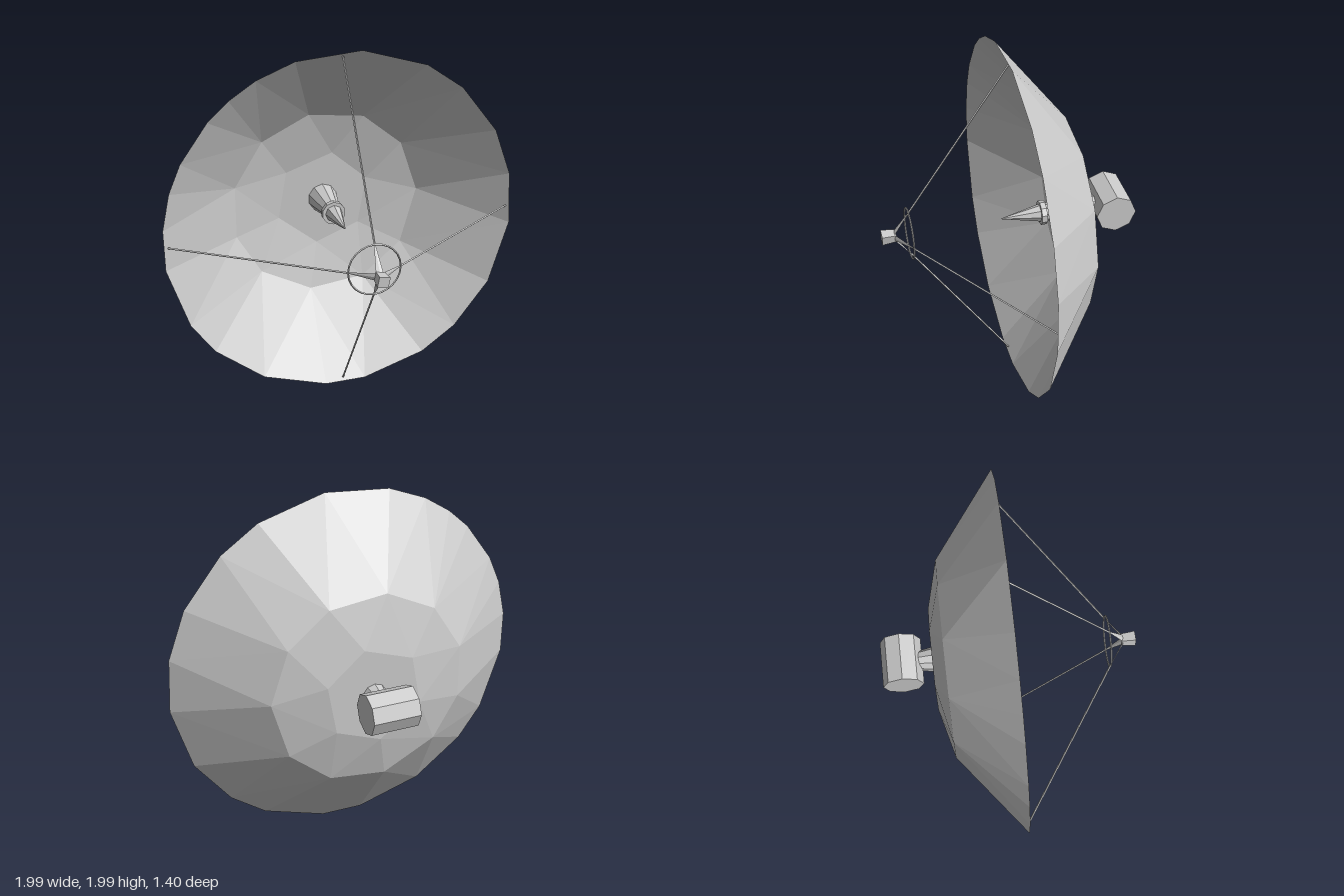
import * as THREE from 'three';

const grey = new THREE.MeshStandardMaterial({ color: 0xcccccc, flatShading: true, side: THREE.DoubleSide });

// Faceted reflector rings, outermost first: radius, depth, vertex angles in degrees
const RINGS = [
  { r: 1.0, z: 0, a: [11.5, 28, 47.5, 62, 84, 105, 118, 128, 137, 152, 162, 174, 187.5, 209, 222, 242, 264, 277.5, 299, 313, 332, 354] },
  { r: 0.55, z: -0.35, a: [2, 35, 66, 100, 132, 164, 196, 225, 260, 294, 326] },
  { r: 0.28, z: -0.42, a: [20, 78, 140, 200, 262, 320] },
];

function add(parent, name, geometry) {
  const mesh = new THREE.Mesh(geometry, grey);
  mesh.name = name;
  parent.add(mesh);
  return mesh;
}

// Frustum along z between two depths
function frustum(zBack, rBack, zFront, rFront, sides) {
  return new THREE.CylinderGeometry(rFront, rBack, zFront - zBack, sides)
    .rotateX(Math.PI / 2)
    .translate(0, 0, (zBack + zFront) / 2);
}

// Bar in the xz plane from [x, z] to [x, z]; flat squeezes its thickness in that plane
function bar(from, to, rFrom, rTo, flat = 1) {
  const dx = to[0] - from[0], dz = to[1] - from[1];
  return new THREE.CylinderGeometry(rTo, rFrom, Math.hypot(dx, dz), 4)
    .scale(1, 1, flat)
    .rotateZ(-Math.PI / 2)
    .rotateY(Math.atan2(-dz, dx))
    .translate((from[0] + to[0]) / 2, 0, (from[1] + to[1]) / 2);
}

// Joins rings of differing vertex counts by always advancing the ring that lags
function dishGeometry() {
  const point = (ring, i) => {
    const t = THREE.MathUtils.degToRad(ring.a[i % ring.a.length]);
    return [ring.r * Math.cos(t), ring.r * Math.sin(t), ring.z];
  };
  const angle = (ring, i) => ring.a[i % ring.a.length] + 360 * Math.floor(i / ring.a.length);
  const pos = [];
  for (let k = 0; k + 1 < RINGS.length; k++) {
    const O = RINGS[k], I = RINGS[k + 1];
    let i = 0, j = 0;
    while (i < O.a.length || j < I.a.length) {
      const nextO = angle(O, i) + angle(O, i + 1), nextI = angle(I, j) + angle(I, j + 1);
      if (j >= I.a.length || (i < O.a.length && nextO <= nextI)) {
        pos.push(...point(O, i), ...point(O, i + 1), ...point(I, j));
        i++;
      } else {
        pos.push(...point(I, j), ...point(O, i), ...point(I, j + 1));
        j++;
      }
    }
  }
  // Flat centre
  const last = RINGS[RINGS.length - 1];
  last.a.forEach((_, i) => pos.push(...point(last, i), ...point(last, i + 1), 0, 0, last.z));
  const g = new THREE.BufferGeometry();
  g.setAttribute('position', new THREE.Float32BufferAttribute(pos, 3));
  g.computeVertexNormals();
  return g;
}

export function createModel() {
  const model = new THREE.Group();
  model.name = 'dishAntenna';
  const body = new THREE.Group();
  body.name = 'antennaBody';
  body.position.y = 1;
  model.add(body);

  add(body, 'reflectorDish', dishGeometry());

  // Central horn: tapering base, collar and pointed tip
  const horn = new THREE.Group();
  horn.name = 'centralHorn';
  body.add(horn);
  add(horn, 'hornBase', frustum(-0.42, 0.085, -0.2, 0.045, 10));
  add(horn, 'hornCollar', frustum(-0.215, 0.068, -0.185, 0.068, 10));
  add(horn, 'hornTip', frustum(-0.19, 0.05, 0.03, 0.003, 8));

  // Rear mount: neck and sideways drum
  add(body, 'rearNeck', frustum(-0.51, 0.052, -0.415, 0.07, 10));
  add(body, 'rearDrum', new THREE.CylinderGeometry(0.112, 0.112, 0.262, 8)
    .rotateZ(Math.PI / 2)
    .translate(-0.005, 1.005 - 1, -0.592));

  // Four struts meeting at the feed, each ending in a flat fin
  for (let k = 0; k < 4; k++) {
    const arm = new THREE.Group();
    arm.name = 'feedArm';
    arm.rotation.z = k * Math.PI / 2;
    body.add(arm);
    add(arm, 'strut', bar([0.97, -0.008], [0.14, 0.545], 0.0055, 0.0055));
    add(arm, 'fin', bar([0.14, 0.545], [0.02, 0.63], 0.004, 0.02, 0.2));
  }

  // Ring that ties the struts together
  add(body, 'strutRing', new THREE.TorusGeometry(0.142, 0.005, 4, 24).translate(0, 0, 0.547));

  // Feed block at the focus
  add(body, 'feedBlock', frustum(0.622, 0.034, 0.7, 0.042, 4).rotateZ(0.6));

  return model;
}
